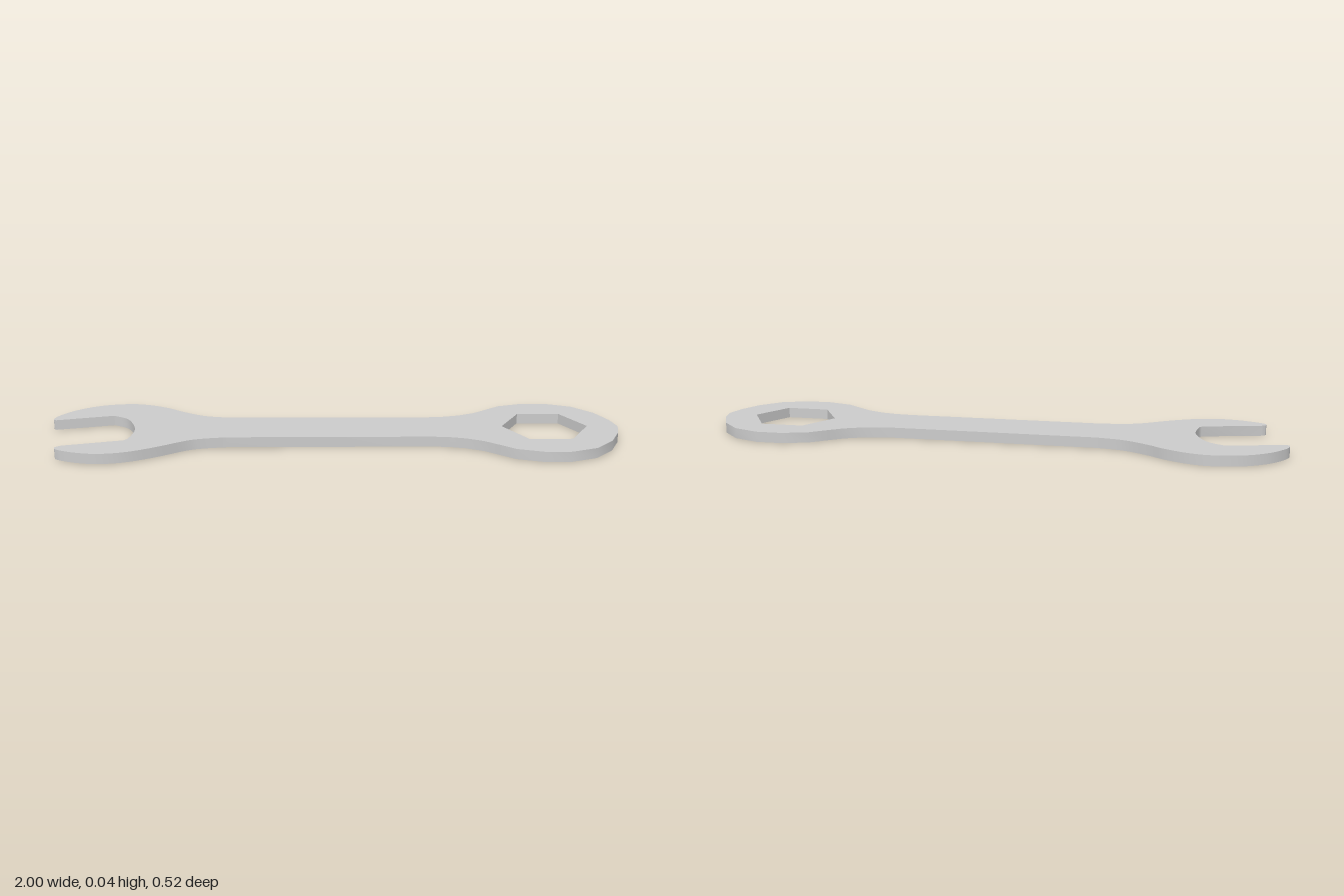
import * as THREE from 'three';
import { toCreasedNormals } from 'three/addons/utils/BufferGeometryUtils.js';

const THICKNESS = 0.036;
const vectors = (pairs) => pairs.map(([x, y]) => new THREE.Vector2(x, y));

// Plan outline of the wrench, traced counter-clockwise
function wrenchOutline() {
  const shape = new THREE.Shape();
  const spline = (pairs) => shape.splineThru(vectors(pairs));
  const lines = (pairs) => pairs.forEach(([x, y]) => shape.lineTo(x, y));

  // Open jaw: slanted upper edge, curved throat, slanted lower edge
  shape.moveTo(-0.99, 0.08);
  shape.lineTo(-0.79, 0.128);
  spline([[-0.735, 0.09], [-0.702, 0.02], [-0.692, -0.04], [-0.702, -0.11], [-0.715, -0.13]]);
  shape.lineTo(-0.915, -0.18);

  // Lower horn, shoulder and handle edge
  spline([[-0.933, -0.195], [-0.922, -0.219], [-0.853, -0.248], [-0.778, -0.259],
    [-0.693, -0.244], [-0.602, -0.2], [-0.505, -0.138], [-0.45, -0.117], [-0.366, -0.103]]);

  // Ring end, the same on both sides of the handle axis
  const ringEnd = [[0.34, -0.102], [0.4, -0.108], [0.45, -0.12], [0.51, -0.147], [0.553, -0.18],
    [0.61, -0.225], [0.698, -0.252], [0.789, -0.252], [0.88, -0.217], [0.947, -0.147], [0.985, -0.067]];
  lines(ringEnd);
  shape.lineTo(1, 0);
  lines(ringEnd.map(([x, y]) => [x, -y]).reverse());

  // Upper handle edge, shoulder and horn
  shape.lineTo(-0.366, 0.103);
  spline([[-0.46, 0.122], [-0.543, 0.168], [-0.602, 0.212], [-0.68, 0.25], [-0.757, 0.262],
    [-0.853, 0.243], [-0.933, 0.195], [-0.985, 0.134], [-1, 0.093], [-0.99, 0.08]]);

  // Hexagonal socket
  const hex = [];
  for (let i = 0; i < 6; i++) {
    const a = -i * Math.PI / 3;
    hex.push([0.742 + 0.15 * Math.cos(a), 0.004 + 0.131 * Math.sin(a) / Math.sin(Math.PI / 3)]);
  }
  shape.holes.push(new THREE.Path(vectors(hex)));
  return shape;
}

export function createModel() {
  const group = new THREE.Group();
  group.name = 'wrench';

  // Flat plate laid on the ground, smooth round the rim and sharp at the edges
  const plate = new THREE.ExtrudeGeometry(wrenchOutline(), {
    depth: THICKNESS, bevelEnabled: false, curveSegments: 4,
  });
  plate.rotateX(-Math.PI / 2);
  const body = new THREE.Mesh(
    toCreasedNormals(plate, Math.PI / 5),
    new THREE.MeshStandardMaterial({ color: 0xcccccc }),
  );
  body.name = 'wrenchBody';
  group.add(body);
  return group;
}
